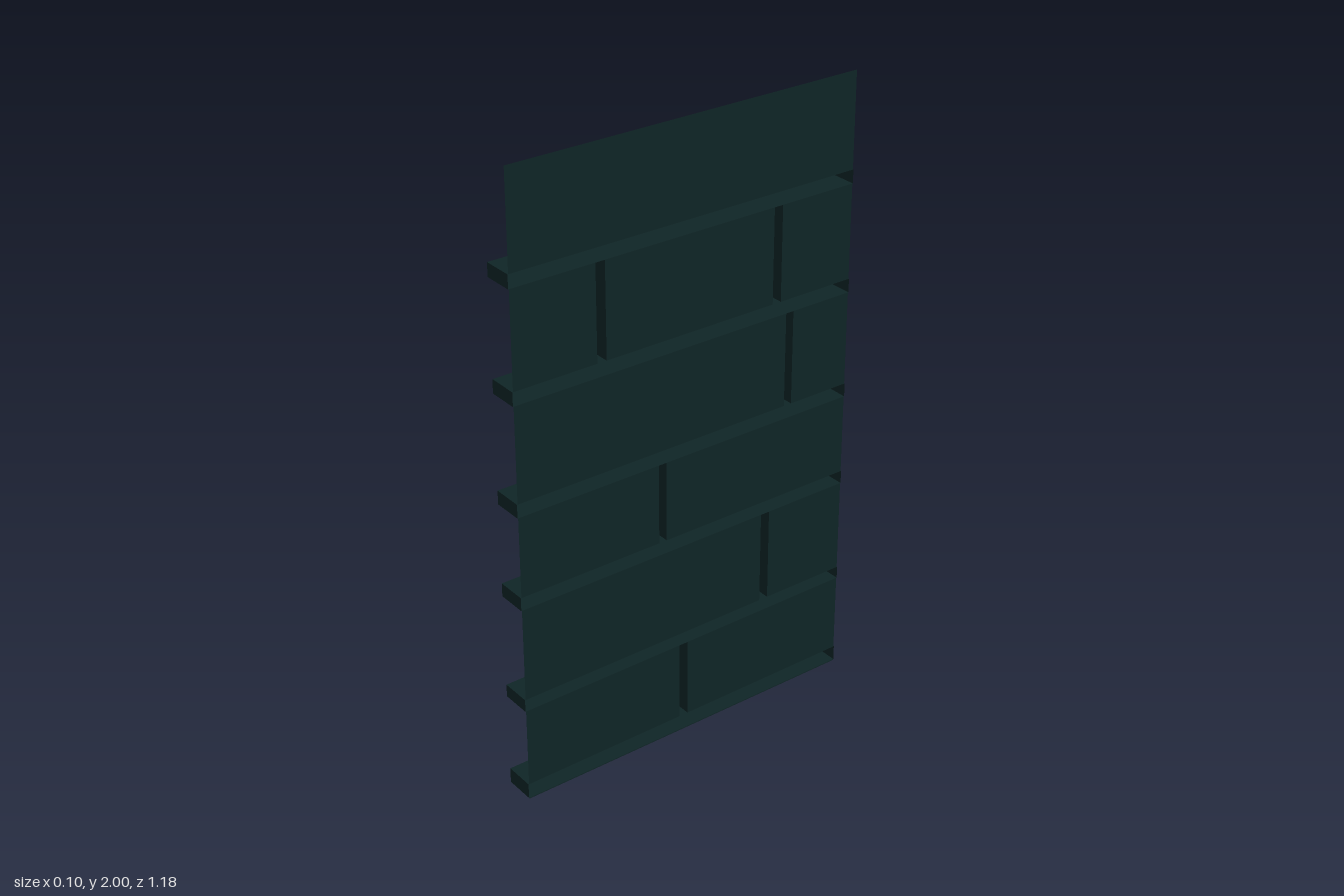
import * as THREE from 'three';

const FACE = 0.048, BACK = -0.05, HALF = 0.59;

// Horizontal ribs: [bottom, top], from the lowest up
const RIBS = [[0.003, 0.053], [0.315, 0.356], [0.965, 1.009], [1.312, 1.356], [1.657, 1.7]];
RIBS.splice(2, 0, [0.662, 0.705]);

// Upright ribs in each course: [z min, z max], ordered along z
const UPRIGHTS = [
  [[0.003, 0.034]],
  [[-0.306, -0.275]],
  [[0.081, 0.108]],
  [[-0.381, -0.354]],
  [[-0.332, -0.302], [0.284, 0.315]],
];

// Box with some sides left out (0 +x, 1 -x, 2 +y, 3 -y, 4 +z, 5 -z)
function openBox(x0, x1, y0, y1, z0, z1, skip) {
  const g = new THREE.BoxGeometry(x1 - x0, y1 - y0, z1 - z0);
  g.translate((x0 + x1) / 2, (y0 + y1) / 2, (z0 + z1) / 2);
  const kept = [];
  const index = Array.from(g.index.array);
  g.groups.forEach((s, i) => {
    if (!skip.includes(i)) kept.push(...index.slice(s.start, s.start + s.count));
  });
  g.setIndex(kept);
  g.clearGroups();
  return g;
}

export function createModel() {
  const model = new THREE.Group();
  const darkTeal = new THREE.MeshStandardMaterial({ color: 0x0f2526, side: THREE.DoubleSide });
  darkTeal.name = 'darkTeal';

  const add = (name, geometry) => {
    const mesh = new THREE.Mesh(geometry, darkTeal);
    mesh.name = name;
    model.add(mesh);
  };

  // Thin sheet facing +x
  const addSheet = (name, y0, y1, z0, z1) => {
    const g = new THREE.PlaneGeometry(z1 - z0, y1 - y0);
    g.rotateY(Math.PI / 2);
    g.translate(FACE, (y0 + y1) / 2, (z0 + z1) / 2);
    add(name, g);
  };

  // Hollow horizontal ribs, open on the +x face
  RIBS.forEach(([y0, y1]) => {
    add('horizontalRib', openBox(BACK + 0.001, FACE, y0, y1, -HALF - 0.002, HALF + 0.002, [0]));
  });

  // Courses of flat panels divided by hollow upright ribs
  UPRIGHTS.forEach((uprights, i) => {
    const y0 = RIBS[i][1], y1 = RIBS[i + 1][0];
    let z = -HALF;
    uprights.forEach(([z0, z1]) => {
      addSheet('panel', y0, y1, z, z0);
      add('uprightRib', openBox(BACK, FACE, y0, y1, z0, z1, [0, 2, 3]));
      z = z1;
    });
    addSheet('panel', y0, y1, z, HALF);
  });

  // Plain sheet above the ribs and the lip along the bottom
  addSheet('topPanel', RIBS[5][1], 2, -HALF, HALF);
  addSheet('bottomLip', 0, RIBS[0][0], -HALF, HALF);

  return model;
}
